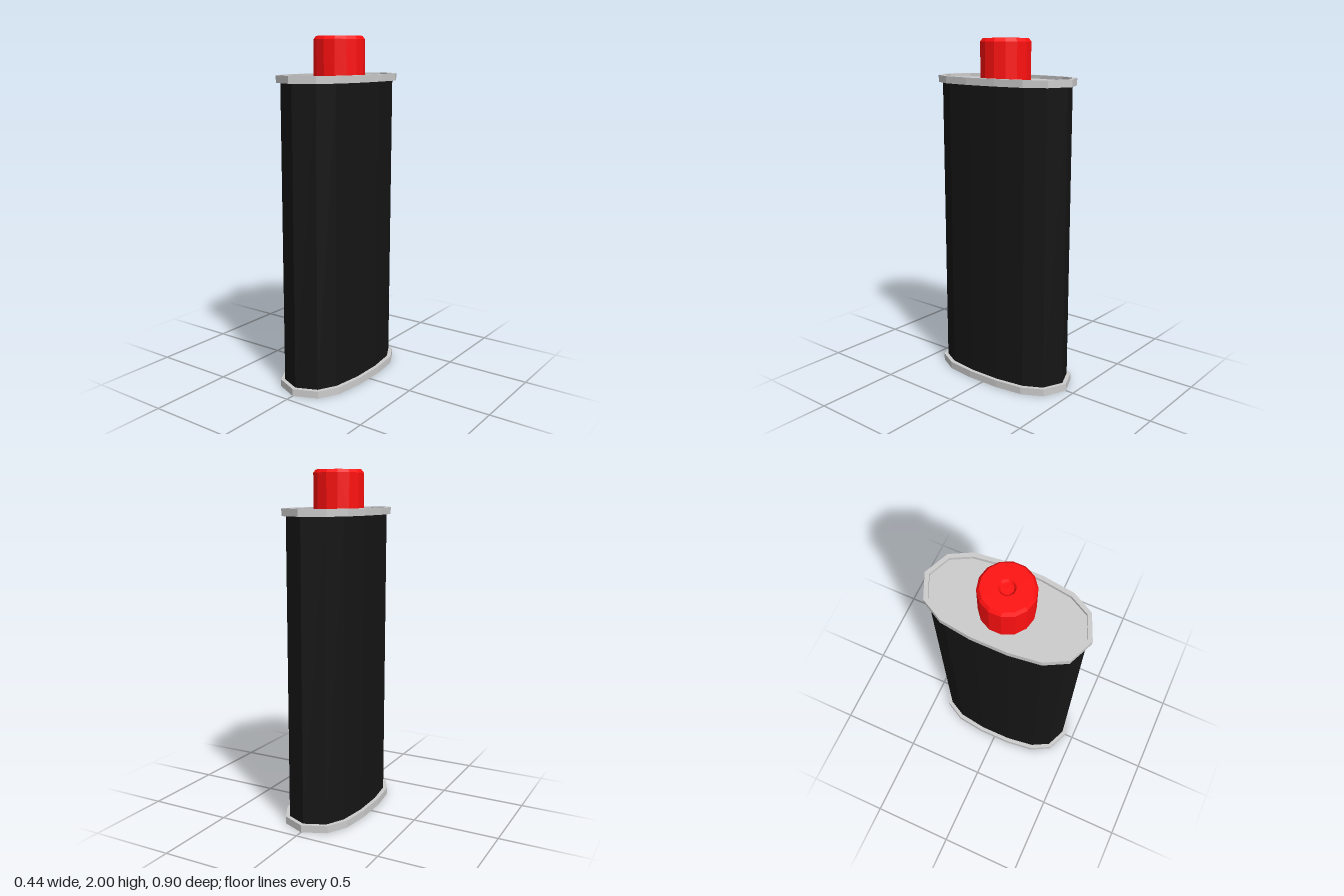
import * as THREE from 'three';

// Quarter outlines [x, z] of the flattened 14-sided oval, from the +z tip to the side
const OUTER = [[0, 0.45], [0.137, 0.39], [0.2, 0.272], [0.222, 0.1]];
const INNER = [[0, 0.425], [0.12, 0.373], [0.176, 0.267], [0.2, 0.095]];
const CENTRE = INNER.map(() => [0, 0]);

// Mirror a quarter outline into the full loop
function fullLoop(quarter) {
  const half = [...quarter, ...quarter.slice().reverse().map(([x, z]) => [x, -z])];
  const other = half.slice(1, -1).reverse().map(([x, z]) => [-x, z]);
  return [...half, ...other];
}

// Skin a stack of [outline, y] sections with flat faces
function loft(sections) {
  const rings = sections.map(([q, y]) => fullLoop(q).map(([x, z]) => new THREE.Vector3(x, y, z)));
  const pos = [];
  const tri = (a, b, c) => {
    if (a.equals(b) || b.equals(c) || a.equals(c)) return;
    for (const p of [a, b, c]) pos.push(p.x, p.y, p.z);
  };
  for (let i = 0; i < rings.length - 1; i++) {
    const lo = rings[i], hi = rings[i + 1], n = lo.length;
    for (let j = 0; j < n; j++) {
      const k = (j + 1) % n;
      tri(lo[j], lo[k], hi[k]);
      tri(lo[j], hi[k], hi[j]);
    }
  }
  const g = new THREE.BufferGeometry();
  g.setAttribute('position', new THREE.Float32BufferAttribute(pos, 3));
  g.computeVertexNormals();
  return g;
}

export function createModel() {
  const model = new THREE.Group();
  const mat = (color) => new THREE.MeshStandardMaterial({ color, flatShading: true });
  const grey = mat(0xcccccc), black = mat(0x151515), red = mat(0xff1010);
  const add = (name, geometry, material) => {
    const mesh = new THREE.Mesh(geometry, material);
    mesh.name = name;
    model.add(mesh);
  };

  // Tall oval can
  add('body', loft([[INNER, 0.02], [INNER, 1.77]]), black);

  // Bottom end with raised rim and recessed panel
  add('bottomRim', loft([
    [CENTRE, 0.02], [INNER, 0.02], [INNER, 0], [OUTER, 0], [OUTER, 0.042], [INNER, 0.042],
  ]), grey);

  // Top end, the same rim the other way up
  add('topRim', loft([
    [INNER, 1.75], [OUTER, 1.75], [OUTER, 1.79], [INNER, 1.79], [INNER, 1.77], [CENTRE, 1.77],
  ]), grey);

  // Screw cap with bevelled edge and a small dimple
  const profile = [
    [0.145, 1.77], [0.145, 1.982], [0.131, 2], [0.044, 2], [0.033, 1.985], [0, 1.985],
  ].map(([r, y]) => new THREE.Vector2(r, y));
  add('cap', new THREE.LatheGeometry(profile, 14), red);

  return model;
}
